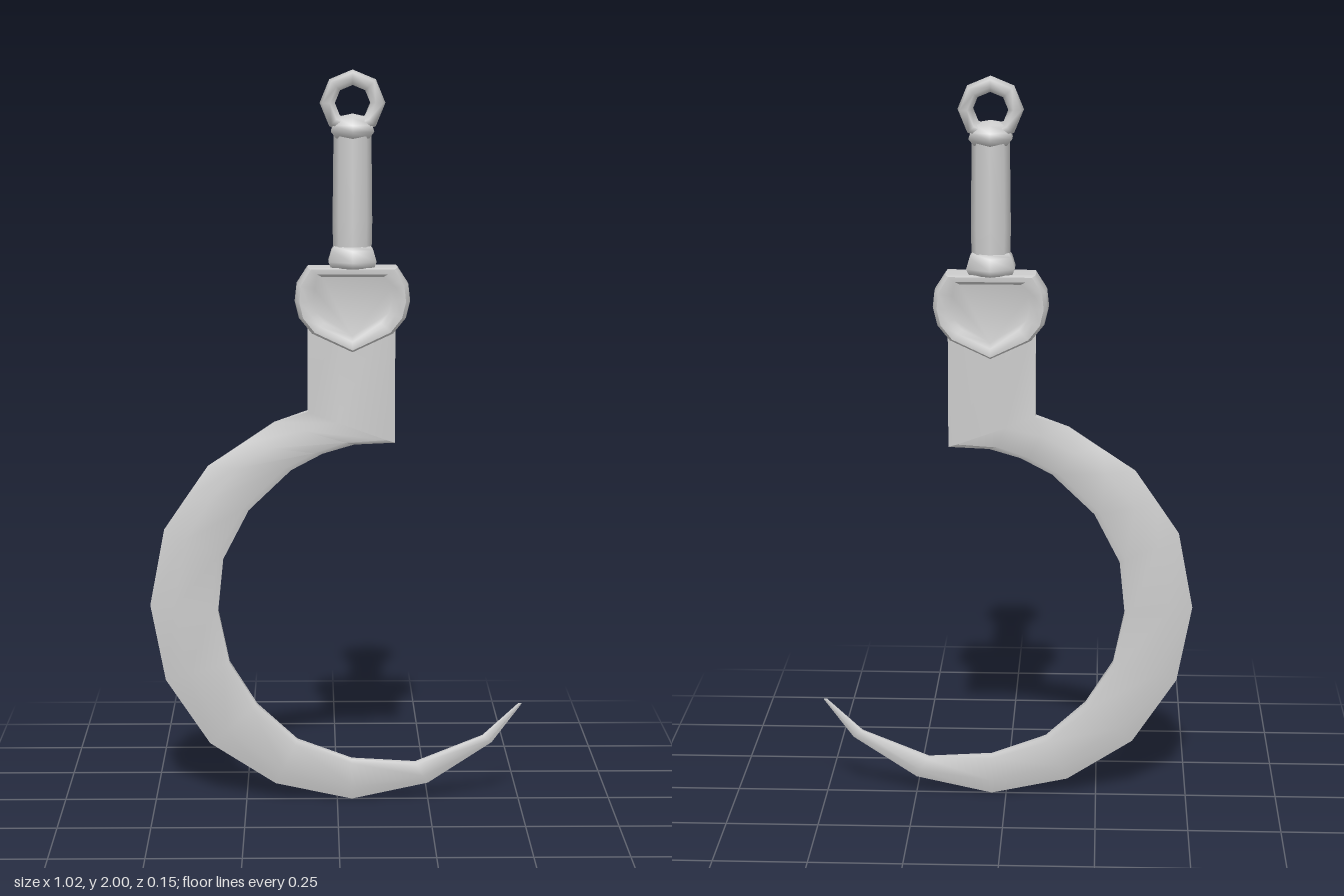
import * as THREE from 'three';
import { toCreasedNormals } from 'three/addons/utils/BufferGeometryUtils.js';

const CX = 0.04; // axis of the grip and guard

// Skin over equal-sized rings of [x, y, z] points, with both ends closed
function loft(rings, crease) {
  const n = rings[0].length, last = (rings.length - 1) * n, index = [];
  for (let i = 0; i < rings.length - 1; i++) {
    for (let j = 0; j < n; j++) {
      const a = i * n + j, b = i * n + (j + 1) % n;
      index.push(a, b, b + n, a, b + n, a + n);
    }
  }
  for (let j = 1; j < n - 1; j++) {
    index.push(0, j + 1, j, last, last + j, last + j + 1);
  }
  const geo = new THREE.BufferGeometry();
  geo.setAttribute('position', new THREE.Float32BufferAttribute(rings.flat(2), 3));
  geo.setIndex(index);
  return toCreasedNormals(geo, crease);
}

function lathe(points, sides) {
  return new THREE.LatheGeometry(points.map(p => new THREE.Vector2(...p)), sides);
}

// Neck and hooked blade: outer x, y, inner x, y, half thickness, outer edge fraction
function bladeGeometry() {
  const stations = [
    [-0.08, 1.36, 0.155, 1.36, 0.024, 0.7],
    [-0.08, 1.09, 0.155, 1.005, 0.024, 0.7],
    [-0.17, 1.06, 0.045, 1.0, 0.022, 0.2],
    [-0.26, 1.0, -0.04, 0.975, 0.021, 0.1],
    [-0.35, 0.94, -0.125, 0.93, 0.02, 0.1],
    [-0.41, 0.853, -0.24, 0.82, 0.02, 0.1],
    [-0.47, 0.765, -0.31, 0.685, 0.02, 0.1],
    [-0.51, 0.555, -0.325, 0.54, 0.019, 0.1],
    [-0.47, 0.345, -0.295, 0.395, 0.018, 0.1],
    [-0.35, 0.165, -0.22, 0.275, 0.017, 0.1],
    [-0.17, 0.05, -0.11, 0.175, 0.015, 0.1],
    [0.04, 0.005, 0.04, 0.12, 0.012, 0.1],
    [0.25, 0.05, 0.215, 0.11, 0.009, 0.1],
    [0.425, 0.165, 0.40, 0.185, 0.006, 0.2],
    [0.507, 0.275, 0.497, 0.275, 0.003, 0.4],
  ];
  const rings = stations.map(([ox, oy, ix, iy, h, edge]) => {
    const section = [[0, -edge], [0.35, -1], [0.9, -0.9], [1, -0.6],
      [1, 0.6], [0.9, 0.9], [0.35, 1], [0, edge]];
    return section.map(([u, w]) => [ox + (ix - ox) * u, oy + (iy - oy) * u, w * h]);
  });
  return loft(rings, 0.6);
}

// Guard: shield outline with bowed sides and a sunken panel on both faces
function guardGeometry() {
  const half = [[0.11, 1.305], [0.143, 1.345], [0.154, 1.39], [0.149, 1.435], [0.12, 1.48]];
  const outline = [[0, 1.255], ...half, ...half.map(([x, y]) => [-x, y]).reverse()];
  const midY = 1.4;
  const ring = (z, sx, sy, tip) => outline.map(([x, y], i) =>
    [CX + x * sx, i === 0 && tip ? tip : midY + (y - midY) * sy, z]);
  const front = [
    ring(0.022, 1, 1, 1.31),
    ring(0.045, 0.98, 1),
    ring(0.055, 0.92, 0.96),
    ring(0.055, 0.78, 0.8),
    ring(0.045, 0.68, 0.7),
  ];
  const back = front.map(r => r.map(([x, y, z]) => [x, y, -z])).reverse();
  return loft([...back, ...front], 0.7);
}

export function createModel() {
  const group = new THREE.Group();
  const material = new THREE.MeshStandardMaterial({ color: 0xcccccc });
  const add = (name, geometry, x = 0, y = 0) => {
    const mesh = new THREE.Mesh(geometry, material);
    mesh.name = name;
    mesh.position.set(x, y, 0);
    group.add(mesh);
  };

  add('blade', bladeGeometry());
  add('guard', guardGeometry());

  // Grip and its two collars
  add('grip', lathe([[0.05, 1.46], [0.053, 1.6], [0.05, 1.85]], 8), CX);
  add('lowerCollar', lathe([[0, 1.475], [0.066, 1.478], [0.074, 1.495], [0.064, 1.525],
    [0.056, 1.535], [0, 1.535]], 6), CX);
  add('upperCollar', lathe([[0, 1.82], [0.05, 1.82], [0.066, 1.838], [0.06, 1.855],
    [0.048, 1.875], [0, 1.885]], 6), CX);

  // Eyelet ring, standing upright in the front plane
  const eyelet = lathe([[0.047, -0.022], [0.06, -0.036], [0.08, -0.034], [0.087, 0],
    [0.08, 0.034], [0.06, 0.036], [0.047, 0.022], [0.047, -0.022]], 8);
  eyelet.rotateX(-Math.PI / 2);
  add('eyelet', eyelet, CX, 1.913);

  return group;
}
